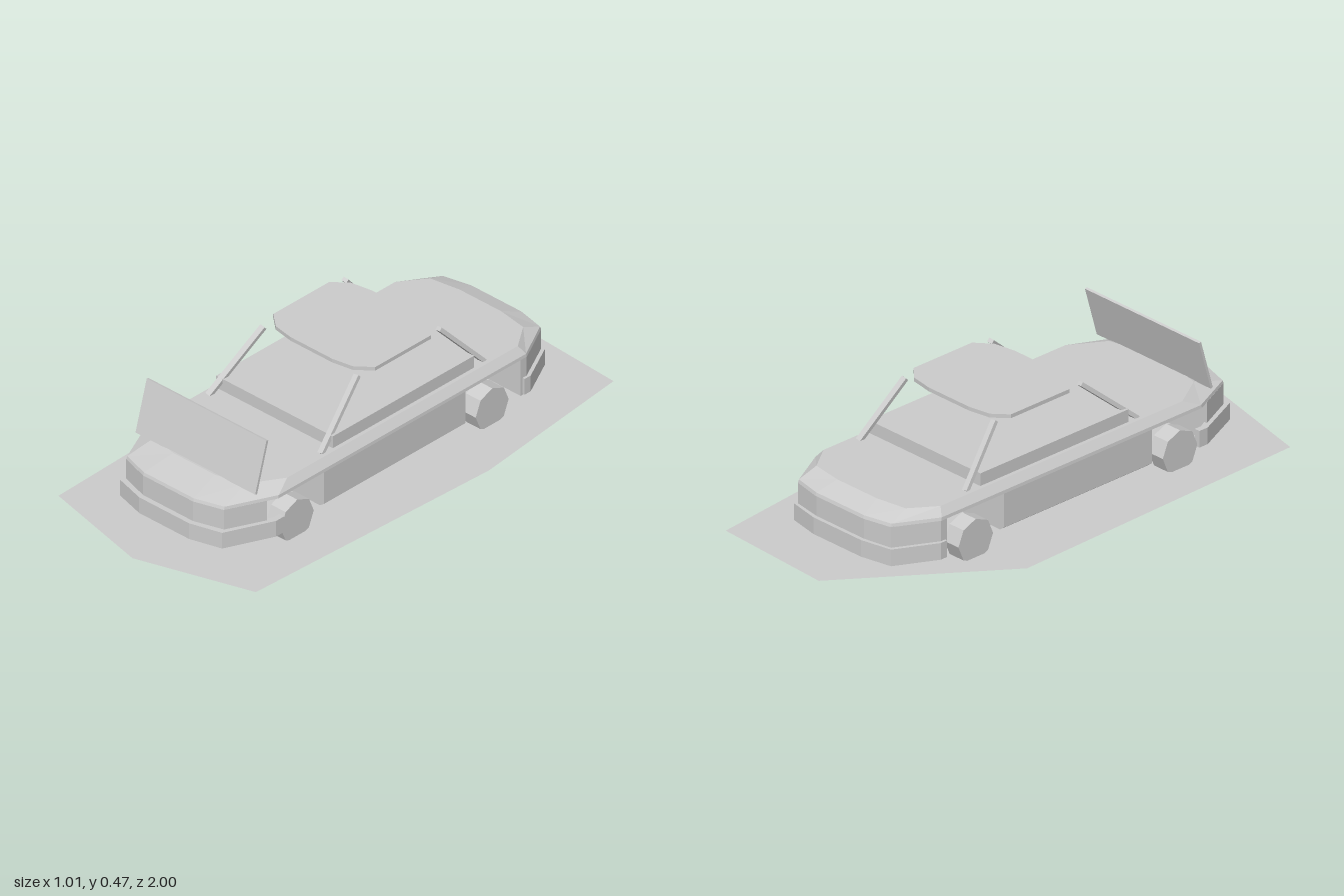
import * as THREE from 'three';

const gray = new THREE.MeshStandardMaterial({ color: 0xcccccc });
const grayThin = new THREE.MeshStandardMaterial({ color: 0xcccccc, side: THREE.DoubleSide });

// Half outline [x, z] from front to back, completed by mirroring in x
const mirror = (half) => [...half, ...half.slice().reverse().map(([x, z]) => [-x, z])];

function add(parent, name, geo, material = gray) {
  const flat = geo.index ? geo.toNonIndexed() : geo;
  flat.computeVertexNormals();
  const mesh = new THREE.Mesh(flat, material);
  mesh.name = name;
  parent.add(mesh);
  return mesh;
}

// Upright prism over an [x, z] outline
function prism(outline, y0, y1) {
  const shape = new THREE.Shape(outline.map(([x, z]) => new THREE.Vector2(x, -z)));
  return new THREE.ExtrudeGeometry(shape, { depth: y1 - y0, bevelEnabled: false })
    .rotateX(-Math.PI / 2).translate(0, y0, 0);
}

// Stacked outlines with equal point counts, capped at both ends
function loft(layers) {
  const n = layers[0].outline.length, pos = [], index = [];
  layers.forEach(({ outline, y }) => outline.forEach(([x, z]) => pos.push(x, y, z)));
  for (let l = 0; l < layers.length - 1; l++) {
    for (let i = 0; i < n; i++) {
      const a = l * n + i, b = l * n + (i + 1) % n;
      index.push(a, b, b + n, a, b + n, a + n);
    }
  }
  const top = (layers.length - 1) * n;
  const caps = THREE.ShapeUtils.triangulateShape(
    layers[0].outline.map(([x, z]) => new THREE.Vector2(x, -z)), []);
  caps.forEach(([a, b, c]) => index.push(top + a, top + b, top + c, a, c, b));
  const geo = new THREE.BufferGeometry();
  geo.setAttribute('position', new THREE.Float32BufferAttribute(pos, 3));
  geo.setIndex(index);
  return geo;
}

// Square bar between two points
function bar(a, b, w) {
  const from = new THREE.Vector3(...a), to = new THREE.Vector3(...b);
  const dir = to.clone().sub(from);
  const q = new THREE.Quaternion().setFromUnitVectors(new THREE.Vector3(0, 1, 0), dir.clone().normalize());
  return new THREE.BoxGeometry(w, dir.length(), w * 0.7).applyQuaternion(q)
    .translate(...from.add(to).multiplyScalar(0.5).toArray());
}

export function createModel() {
  const model = new THREE.Group();

  // Ground sheet
  const ground = [[-0.08, -1], [-0.51, -0.41], [-0.47, 0.89], [-0.01, 1], [0.45, 0.86], [0.5, -0.26], [0.42, -0.97]];
  const sheet = new THREE.ShapeGeometry(new THREE.Shape(ground.map(([x, z]) => new THREE.Vector2(x, -z))))
    .rotateX(-Math.PI / 2).translate(0, 0.017, 0);
  add(model, 'groundSheet', sheet, grayThin);

  const car = new THREE.Group();
  car.name = 'car';
  car.position.x = -0.01;
  model.add(car);

  // Upper body: shoulder line tapering to a flat deck (back to front, seen from above)
  const nose = [[0.32, 0.6], [0.235, 0.785], [0.12, 0.82]];
  const tail = [[0.12, -0.835], [0.235, -0.81], [0.32, -0.65]];
  const lower = mirror([...nose].reverse().concat([...tail].reverse()));
  const upper = mirror([[0.1, 0.69], [0.215, 0.66], [0.295, 0.53], [0.295, -0.63], [0.225, -0.73], [0.1, -0.75]]);
  add(car, 'upperBody', loft([
    { outline: lower, y: 0.22 },
    { outline: lower.map(([x, z]) => [x * 0.995, z * 0.995]), y: 0.232 },
    { outline: upper, y: 0.262 },
  ]));

  // Door section with a tucked-in sill
  const doors = (w) => [[w, 0.365], [w, -0.345], [-w, -0.345], [-w, 0.365]];
  add(car, 'doorSection', loft([
    { outline: doors(0.295), y: 0.07 },
    { outline: doors(0.315), y: 0.085 },
    { outline: doors(0.315), y: 0.221 },
  ]));

  // Nose and tail blocks
  add(car, 'noseBlock', prism(mirror([[0.12, 0.82], [0.235, 0.785], [0.302, 0.64]]), 0.07, 0.221));
  add(car, 'tailBlock', prism(mirror([[0.318, -0.62], [0.318, -0.65], [0.235, -0.81], [0.12, -0.83]]), 0.07, 0.221));

  // Wrap-around bumpers
  const band = (outer, inner) => {
    const o = mirror(outer), i = mirror(inner);
    return prism([...o.slice(outer.length), ...o.slice(0, outer.length),
      ...i.slice(0, inner.length).reverse(), ...i.slice(inner.length).reverse()], 0.075, 0.14);
  };
  add(car, 'frontBumper', band(
    [[0.12, 0.84], [0.245, 0.805], [0.328, 0.62], [0.328, 0.58]],
    [[0.12, 0.8], [0.22, 0.77], [0.305, 0.61], [0.305, 0.58]]));
  add(car, 'rearBumper', band(
    [[0.12, -0.845], [0.245, -0.82], [0.328, -0.66], [0.328, -0.63]],
    [[0.12, -0.81], [0.22, -0.79], [0.305, -0.65], [0.305, -0.63]]));

  // Low cabin base between the pillars
  add(car, 'cabinBase', new THREE.BoxGeometry(0.56, 0.05, 0.71).translate(0, 0.286, -0.07));

  // Floating roof
  add(car, 'roof', prism(mirror([[0.1, 0.1], [0.185, 0.085], [0.245, 0.035],
    [0.245, -0.245], [0.19, -0.295], [0.1, -0.31]]), 0.45, 0.465));

  // Raised panel standing on the front deck
  const panel = add(car, 'frontPanel', new THREE.BoxGeometry(0.575, 0.205, 0.01));
  panel.position.set(0, 0.357, 0.65);
  panel.rotation.x = -0.28;

  for (const s of [-1, 1]) {
    // Roof pillars
    add(car, 'frontPillar', bar([s * 0.27, 0.258, 0.335], [s * 0.225, 0.455, 0.105], 0.022));
    add(car, 'rearPillar', bar([s * 0.268, 0.258, -0.485], [s * 0.225, 0.455, -0.305], 0.022));
    // Eight-sided wheels
    for (const z of [0.5, -0.48]) {
      const wheel = add(car, 'wheel', new THREE.CylinderGeometry(0.083, 0.083, 0.07, 8).rotateZ(Math.PI / 2));
      wheel.position.set(s * 0.28, 0.083, z);
    }
  }
  return model;
}
